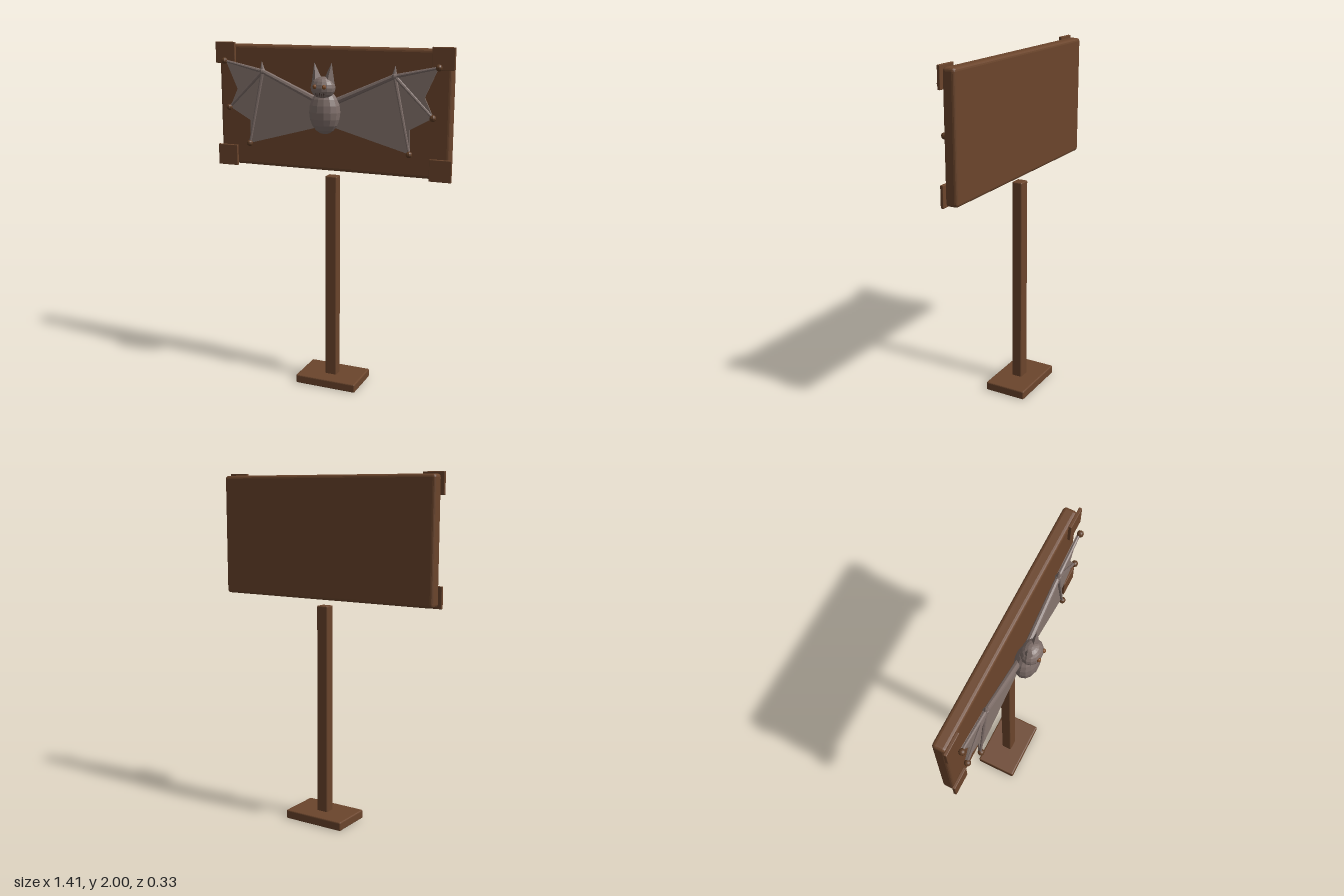
import * as THREE from 'three';
import { RoundedBoxGeometry } from 'three/addons/geometries/RoundedBoxGeometry.js';

const mat = (name, color, extra = {}) => {
  const m = new THREE.MeshStandardMaterial({ color, flatShading: true, ...extra });
  m.name = name;
  return m;
};

export function createModel() {
  const wood = mat('wood', 0x6b452c);
  const nailBrown = mat('nail brown', 0x5e3c24);
  const fur = mat('grey fur', 0x7e6e69);
  const skin = mat('wing skin', 0x85756e, { side: THREE.DoubleSide });
  const eyeBrown = mat('eye brown', 0x7a4a26);
  const dark = mat('mouth dark', 0x3a2c28);

  const model = new THREE.Group();
  model.name = 'batSign';

  const add = (parent, name, geometry, material, x = 0, y = 0, z = 0) => {
    const mesh = new THREE.Mesh(geometry, material);
    mesh.name = name;
    mesh.position.set(x, y, z);
    parent.add(mesh);
    return mesh;
  };
  const box = (name, w, h, d, r, x, y, z) =>
    add(model, name, new RoundedBoxGeometry(w, h, d, 2, r), wood, x, y, z);

  // Tapered rod between two points
  const rod = (parent, name, a, b, ra, rb, material) => {
    const from = new THREE.Vector3(...a), to = new THREE.Vector3(...b);
    const dir = to.clone().sub(from);
    const mesh = add(parent, name, new THREE.CylinderGeometry(rb, ra, dir.length(), 8), material);
    mesh.position.copy(from).addScaledVector(dir, 0.5);
    mesh.quaternion.setFromUnitVectors(new THREE.Vector3(0, 1, 0), dir.normalize());
    return mesh;
  };

  // Stand and board
  box('base', 0.376, 0.052, 0.25, 0.008, 0, 0.026, -0.04);
  box('post', 0.07, 1.22, 0.062, 0.007, 0, 0.655, -0.036);
  box('board', 1.38, 0.69, 0.073, 0.018, 0, 1.643, -0.03);

  // Corner plates
  for (const x of [-0.643, 0.643])
    for (const y of [1.35, 1.94])
      box('cornerPlate', 0.124, 0.12, 0.017, 0.003, x, y, 0.0145);

  // Bat body and head
  const bat = new THREE.Group();
  bat.name = 'bat';
  model.add(bat);
  add(bat, 'body', new THREE.SphereGeometry(1, 14, 10), fur, 0, 1.64, 0.078).scale.set(0.09, 0.122, 0.064);
  add(bat, 'head', new THREE.SphereGeometry(1, 14, 10), fur, 0, 1.775, 0.1).scale.set(0.07, 0.06, 0.056);

  // Small teeth along the mouth
  for (let i = -2; i <= 2; i++) {
    const tooth = add(bat, 'tooth', new THREE.ConeGeometry(0.005, 0.024, 4), dark,
      i * 0.011, 1.738, 0.146 - Math.abs(i) * 0.002);
    tooth.rotation.x = Math.PI;
  }

  const z = 0.052;
  const shoulder = [0.05, 1.695, z], wrist = [0.39, 1.845, z];
  const tips = [[0.63, 1.897, z], [0.605, 1.635, z], [0.479, 1.434, z]];

  // Wing membrane outline, with scallops between the finger tips
  const outline = [[0.03, 1.69], [0.39, 1.845], [0.622, 1.888], [0.555, 1.74],
    [0.605, 1.635], [0.476, 1.565], [0.479, 1.434], [0.05, 1.55]];
  const membraneShape = side =>
    new THREE.Shape(outline.map(([x, y]) => new THREE.Vector2(side * x, y)));

  for (const side of [1, -1]) {
    const m = ([x, y, zz]) => [side * x, y, zz];

    const ear = add(bat, 'ear', new THREE.ConeGeometry(0.035, 0.11, 4), fur, side * 0.042, 1.855, 0.1);
    ear.rotation.z = -side * 0.16;
    ear.scale.z = 0.75;
    add(bat, 'eye', new THREE.SphereGeometry(0.012, 8, 6), eyeBrown, side * 0.027, 1.783, 0.15);

    const wing = new THREE.Group();
    wing.name = side > 0 ? 'leftWing' : 'rightWing';
    bat.add(wing);
    add(wing, 'membrane', new THREE.ExtrudeGeometry(membraneShape(side),
      { depth: 0.008, bevelEnabled: false }), skin, 0, 0, 0.039);
    rod(wing, 'arm', m(shoulder), m(wrist), 0.018, 0.013, fur);
    add(wing, 'wrist', new THREE.SphereGeometry(0.018, 8, 6), fur, ...m(wrist));
    rod(wing, 'thumb', m(wrist), m([0.393, 1.9, z]), 0.016, 0.001, fur);
    for (const tip of tips) {
      rod(wing, 'finger', m(wrist), m(tip), 0.011, 0.007, fur);
      add(wing, 'nail', new THREE.SphereGeometry(0.018, 10, 8), nailBrown, ...m([tip[0], tip[1], 0.055]));
    }
  }
  return model;
}
